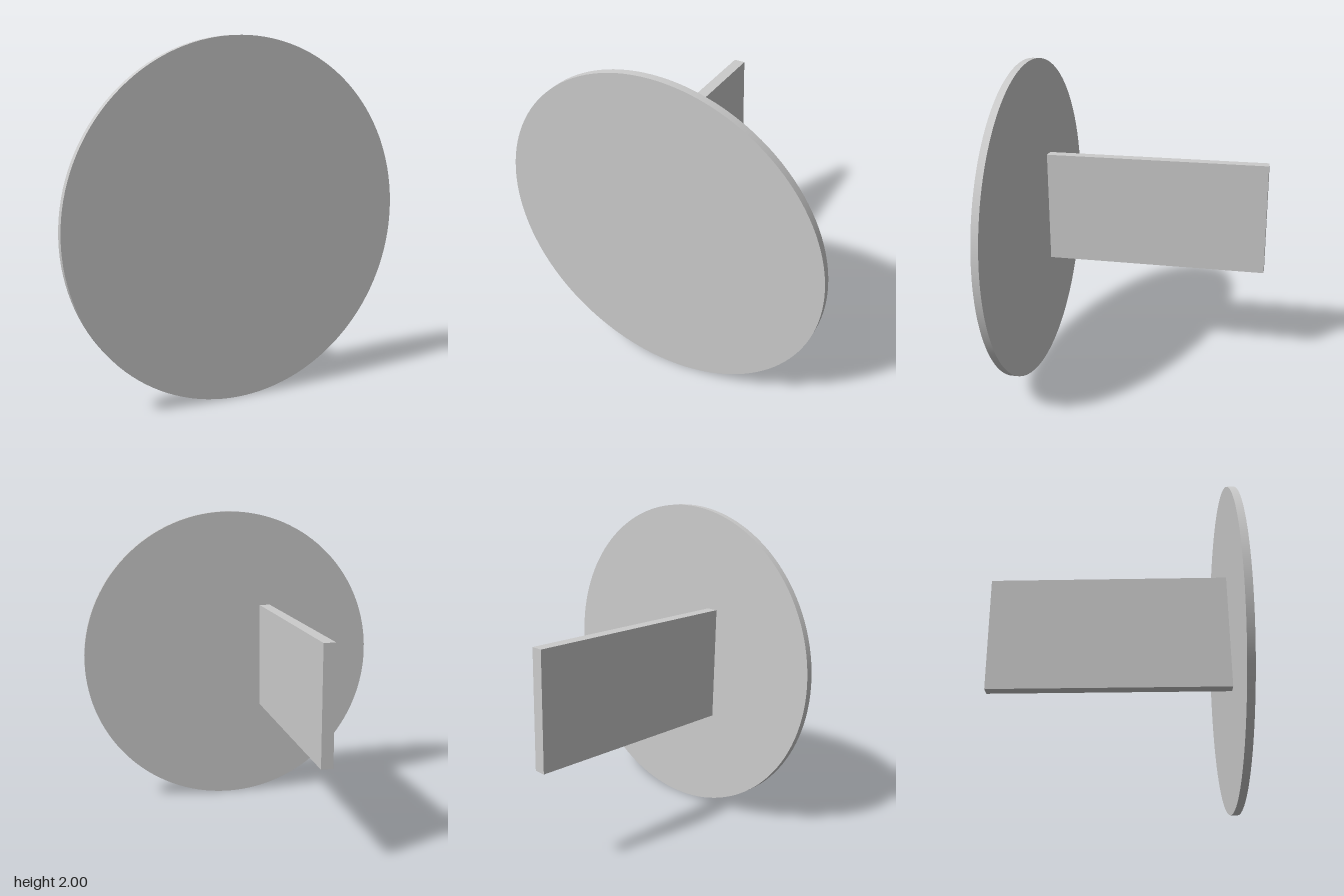
import * as THREE from 'three';

export function createModel() {
  const group = new THREE.Group();
  const material = new THREE.MeshStandardMaterial({ color: 0xcccccc });
  const halfDepth = 0.735;
  const discThickness = 0.043;
  const discBack = halfDepth - discThickness;

  // Thin round disc facing the front
  const discGeometry = new THREE.CylinderGeometry(1, 1, discThickness, 128);
  discGeometry.rotateX(Math.PI / 2);
  const disc = new THREE.Mesh(discGeometry, material);
  disc.name = 'disc';
  disc.position.set(0, 1, halfDepth - discThickness / 2);
  group.add(disc);

  // Upright plate running back from the disc, off centre
  const plateLength = discBack + halfDepth;
  const plate = new THREE.Mesh(new THREE.BoxGeometry(0.072, 0.715, plateLength), material);
  plate.name = 'backPlate';
  plate.position.set(-0.253, 1, discBack - plateLength / 2);
  group.add(plate);

  return group;
}
